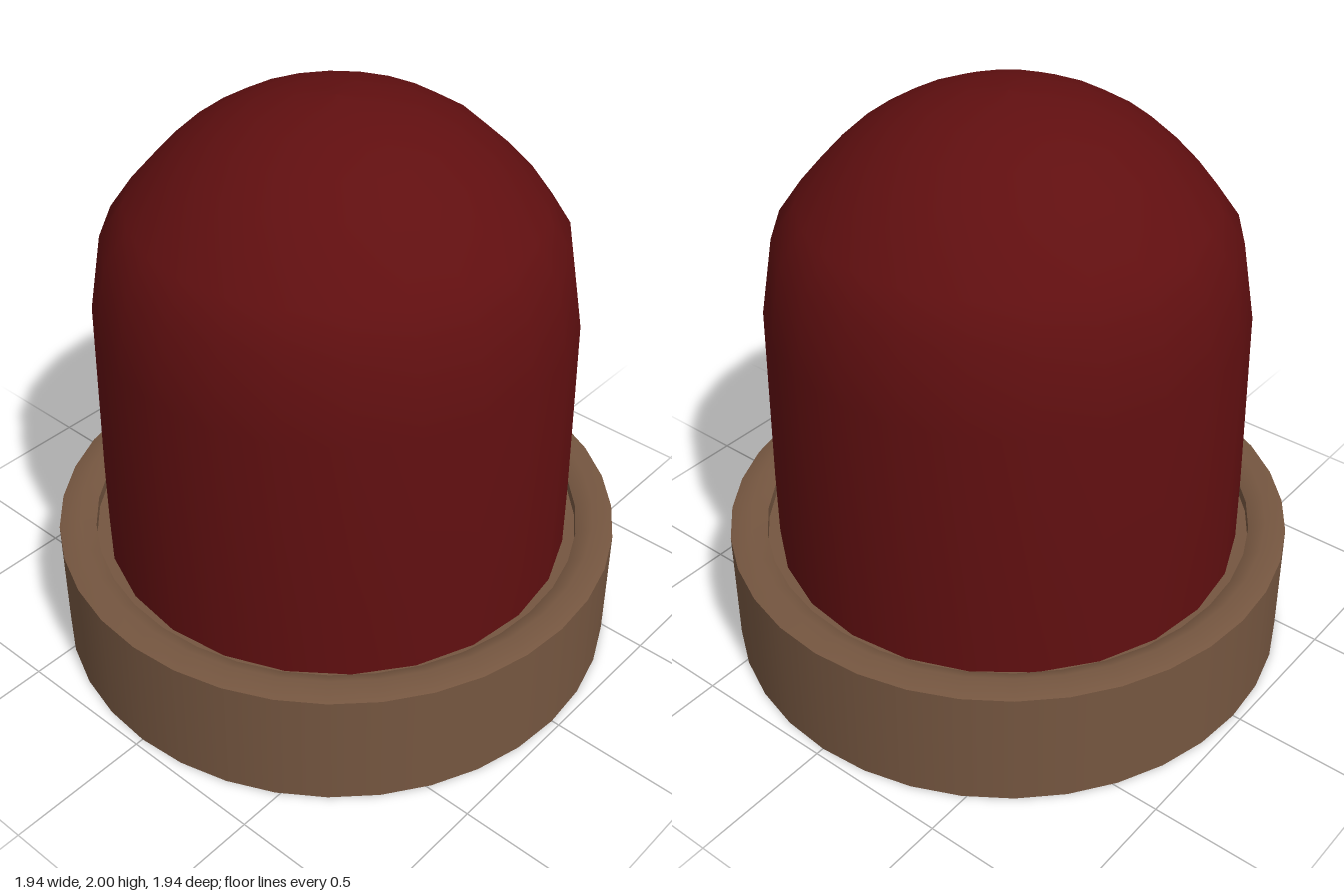
import * as THREE from 'three';

export function createModel() {
  const model = new THREE.Group();
  const brown = new THREE.MeshStandardMaterial({ color: 0x755640 });
  brown.name = 'brown';
  const darkRed = new THREE.MeshStandardMaterial({ color: 0x600f10 });
  darkRed.name = 'darkRed';

  // Smooth turned surface; separate strips keep the edges between them sharp
  function turned(name, profile, sides, material, parent) {
    const points = profile.map(([r, y]) => new THREE.Vector2(r, y));
    const mesh = new THREE.Mesh(new THREE.LatheGeometry(points, sides), material);
    mesh.name = name;
    parent.add(mesh);
  }

  // Base ring with a bevelled rim and a recessed seat for the dome
  const base = new THREE.Group();
  base.name = 'base';
  model.add(base);
  turned('baseUnderside', [[0, 0], [0.972, 0]], 36, brown, base);
  turned('baseWall', [[0.972, 0], [0.972, 0.425]], 36, brown, base);
  turned('baseRim', [[0.972, 0.425], [0.9, 0.45], [0.845, 0.42]], 36, brown, base);
  turned('grooveWall', [[0.845, 0.42], [0.845, 0.38]], 36, brown, base);
  turned('grooveFloor', [[0.845, 0.38], [0, 0.38]], 36, brown, base);

  // Domed cover
  turned('dome', [
    [0.803, 0.38], [0.802, 0.62], [0.79, 1.27], [0.745, 1.535], [0.665, 1.65],
    [0.58, 1.745], [0.485, 1.835], [0.375, 1.905], [0.26, 1.957], [0.13, 1.99], [0, 2],
  ], 24, darkRed, model);

  return model;
}
